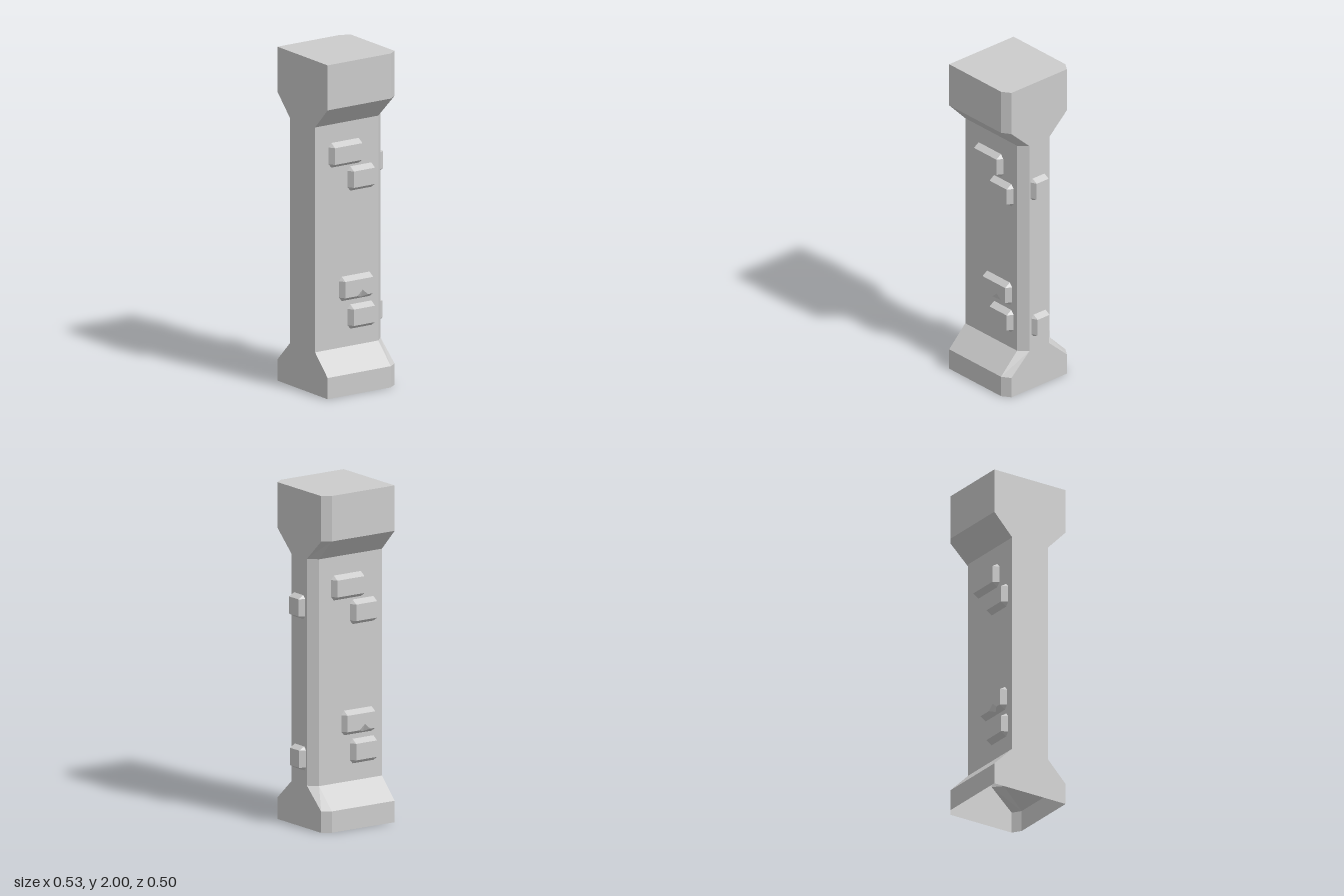
import * as THREE from 'three';

const material = new THREE.MeshStandardMaterial({ color: 0xcccccc, flatShading: true, side: THREE.DoubleSide });

// Turns flat polygons (each fanned from its first corner) into one faceted mesh
function polyMesh(name, faces) {
  const pos = [];
  for (const f of faces)
    for (let i = 1; i < f.length - 1; i++) pos.push(...f[0], ...f[i], ...f[i + 1]);
  const geo = new THREE.BufferGeometry();
  geo.setAttribute('position', new THREE.Float32BufferAttribute(pos, 3));
  geo.computeVertexNormals();
  const mesh = new THREE.Mesh(geo, material);
  mesh.name = name;
  return mesh;
}

// Horizontal section of the pillar: both +x corners are chamfered
function section(y, z, zIn) {
  return [[-0.267, z], [0.181, z], [0.232, zIn], [0.232, -zIn], [0.181, -z], [-0.267, -z]]
    .map(([x, d]) => [x, y, d]);
}

// Pillar: wide foot, narrow shaft, wide head; open underneath
function makePillar() {
  const rings = [
    section(0, 0.25, 0.215), section(0.127, 0.25, 0.215),
    section(0.253, 0.125, 0.075), section(1.6, 0.125, 0.075),
    section(1.73, 0.25, 0.215), section(2, 0.25, 0.215),
  ];
  const faces = [rings[5]];
  for (let r = 0; r < 5; r++)
    for (let i = 0; i < 6; i++) {
      const j = (i + 1) % 6;
      faces.push([rings[r][i], rings[r][j], rings[r + 1][j], rings[r + 1][i]]);
    }
  return polyMesh('pillar', faces);
}

// Raised stone facing +z: smaller front, sloped sides, clipped corners,
// and an optional chip in the lower front edge at x = chip
function makeStone(name, w, h, bx, by, chip) {
  const d = 0.036, X = w / 2, Y = h / 2, x = X - bx, y = Y - by;
  const BL = [-x, -y, d], BR = [x, -y, d], TR = [x, y, d], TL = [-x, y, d];
  const bl = [-x, -Y, 0], br = [x, -Y, 0], tr = [x, Y, 0], tl = [-x, Y, 0];
  const lb = [-X, -y, 0], rb = [X, -y, 0], rt = [X, y, 0], lt = [-X, y, 0];
  const faces = [
    [TL, TR, tr, tl], [BR, rb, rt, TR], [BL, TL, lt, lb],
    [BL, lb, bl], [BR, br, rb], [TR, rt, tr], [TL, tl, lt],
  ];
  if (chip === undefined) {
    faces.push([BL, BR, TR, TL], [BL, bl, br, BR]);
  } else {
    const A = [chip, -y + 0.033, d], B = [chip - 0.038, -y, d], C = [chip + 0.038, -y, d];
    const D = [chip, -y - by * 0.6, d * 0.4];
    faces.push([A, C, BR, TR, TL, BL, B], [D, B, BL, bl, br, BR, C], [A, B, D], [A, D, C]);
  }
  return polyMesh(name, faces);
}

export function createModel() {
  const group = new THREE.Group();
  group.name = 'stonePillar';
  group.add(makePillar());

  // Stones on the broad faces: centre x, centre y, width, height, chip
  const stones = [
    [-0.055, 1.415, 0.233, 0.148],
    [0.057, 1.255, 0.188, 0.146],
    [0.02, 0.603, 0.236, 0.146, 0.025],
    [0.057, 0.428, 0.188, 0.146],
  ];
  for (const [x, y, w, h, chip] of stones) {
    const front = makeStone('frontStone', w, h, 0.02, 0.024, chip);
    front.position.set(x, y, 0.125);
    const back = makeStone('backStone', w, h, 0.02, 0.024, chip);
    back.position.set(-0.075 - x, y, -0.125);
    back.rotation.y = Math.PI;
    group.add(front, back);
  }

  // Stones on the chamfered narrow side
  for (const [y, z] of [[1.307, 0.005], [0.41, -0.003]]) {
    const side = makeStone('sideStone', 0.126, 0.142, 0.017, 0.02);
    side.position.set(0.232, y, z);
    side.rotation.y = Math.PI / 2;
    group.add(side);
  }
  return group;
}
